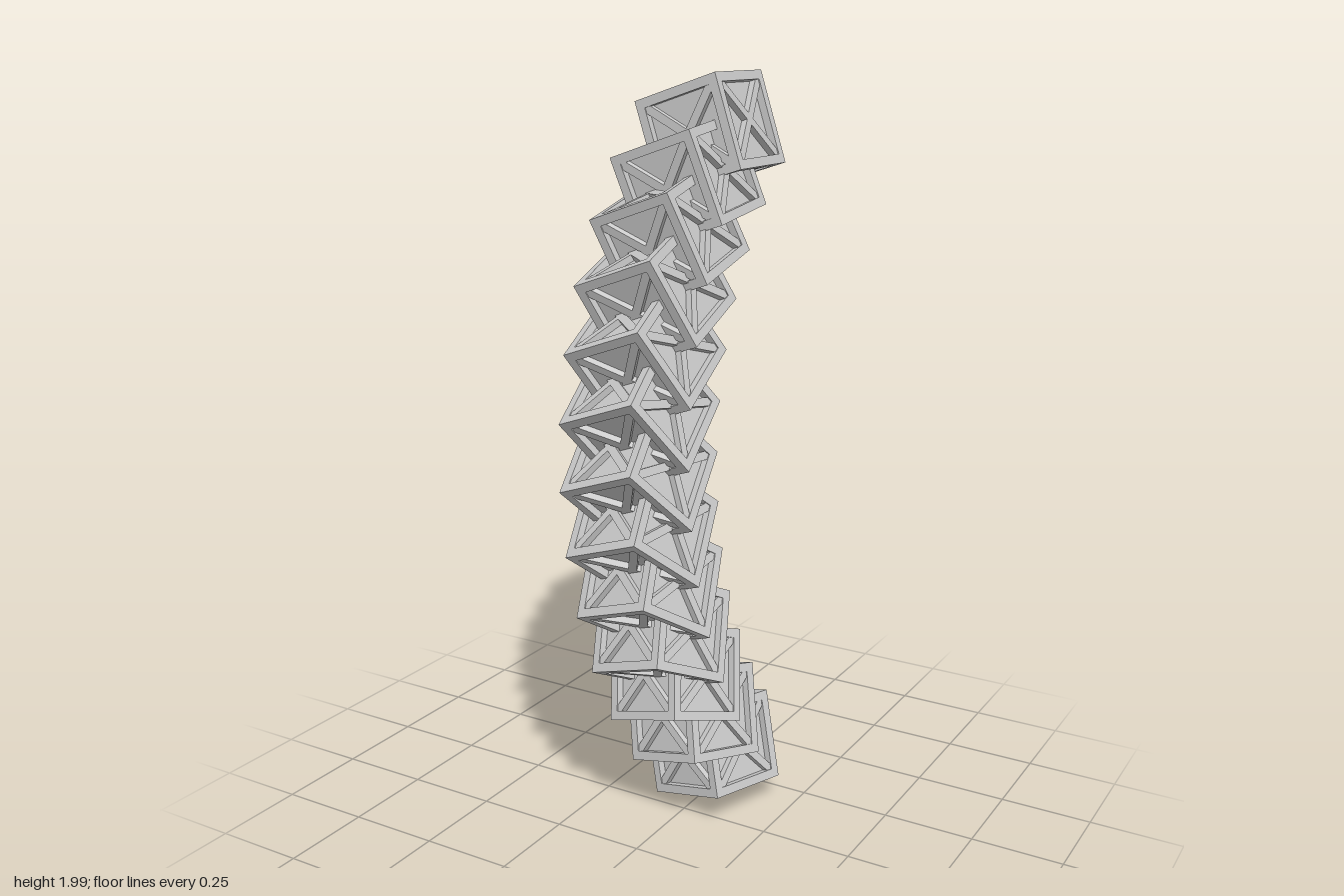
import * as THREE from 'three';
import { mergeGeometries } from 'three/addons/utils/BufferGeometryUtils.js';

const SIZE = 0.245;   // crate side
const BAR = 0.024;    // frame bar thickness
const COUNT = 13;     // crates in the chain

// Twelve square bars along the crate edges
function frameGeometry() {
  const bars = [];
  const off = (SIZE - BAR) / 2;
  for (const a of [-off, off]) {
    for (const b of [-off, off]) {
      bars.push(new THREE.BoxGeometry(SIZE, BAR, BAR).translate(0, a, b));
      bars.push(new THREE.BoxGeometry(BAR, SIZE - 2 * BAR, BAR).translate(a, 0, b));
      bars.push(new THREE.BoxGeometry(BAR, BAR, SIZE - 2 * BAR).translate(a, b, 0));
    }
  }
  return mergeGeometries(bars);
}

// Diagonal cross on each of the six faces
function braceGeometry() {
  const bars = [];
  const length = SIZE * Math.SQRT2 - 2 * BAR;
  const turns = [[0, 0], [0, 1], [0, 2], [0, 3], [1, 0], [-1, 0]];
  for (const [rx, ry] of turns) {
    for (const s of [-1, 1]) {
      bars.push(new THREE.BoxGeometry(length, 0.022, 0.02)
        .rotateZ(s * Math.PI / 4)
        .translate(0, 0, SIZE / 2 - 0.013)
        .rotateX(rx * Math.PI / 2)
        .rotateY(ry * Math.PI / 2));
    }
  }
  return mergeGeometries(bars);
}

export function createModel() {
  const model = new THREE.Group();
  model.name = 'crateChain';
  const material = new THREE.MeshStandardMaterial({ color: 0xcccccc, flatShading: true });
  const inner = SIZE - 0.04;
  const parts = {
    panels: new THREE.BoxGeometry(inner, inner, inner),
    frame: frameGeometry(),
    braces: braceGeometry(),
  };

  // The crates follow a shallow helix, each turned a little further than the last
  const axis = new THREE.Vector3(0.983, 0.162, 0.106).normalize();
  const first = new THREE.Vector3(-0.038, 1.845, -0.198);
  const last = new THREE.Vector3(0.02, 0.17, -0.12);
  const sweep = THREE.MathUtils.degToRad(82);
  const span = last.clone().sub(first);
  const drift = span.dot(axis);
  const chord = span.clone().addScaledVector(axis, -drift);
  const pivot = first.clone().addScaledVector(chord, 0.5)
    .addScaledVector(axis.clone().cross(chord), 0.5 / Math.tan(sweep / 2));
  const tilt = new THREE.Quaternion().setFromEuler(new THREE.Euler(0, 0, 0.315));

  for (let i = 0; i < COUNT; i++) {
    const t = i / (COUNT - 1);
    const turn = new THREE.Quaternion().setFromAxisAngle(axis, sweep * t);
    const crate = new THREE.Group();
    crate.name = `crate${i + 1}`;
    for (const [name, geometry] of Object.entries(parts)) {
      const mesh = new THREE.Mesh(geometry, material);
      mesh.name = name;
      crate.add(mesh);
    }
    crate.position.copy(first).sub(pivot).applyQuaternion(turn).add(pivot)
      .addScaledVector(axis, drift * t);
    crate.quaternion.copy(turn).multiply(tilt);
    model.add(crate);
  }
  return model;
}
